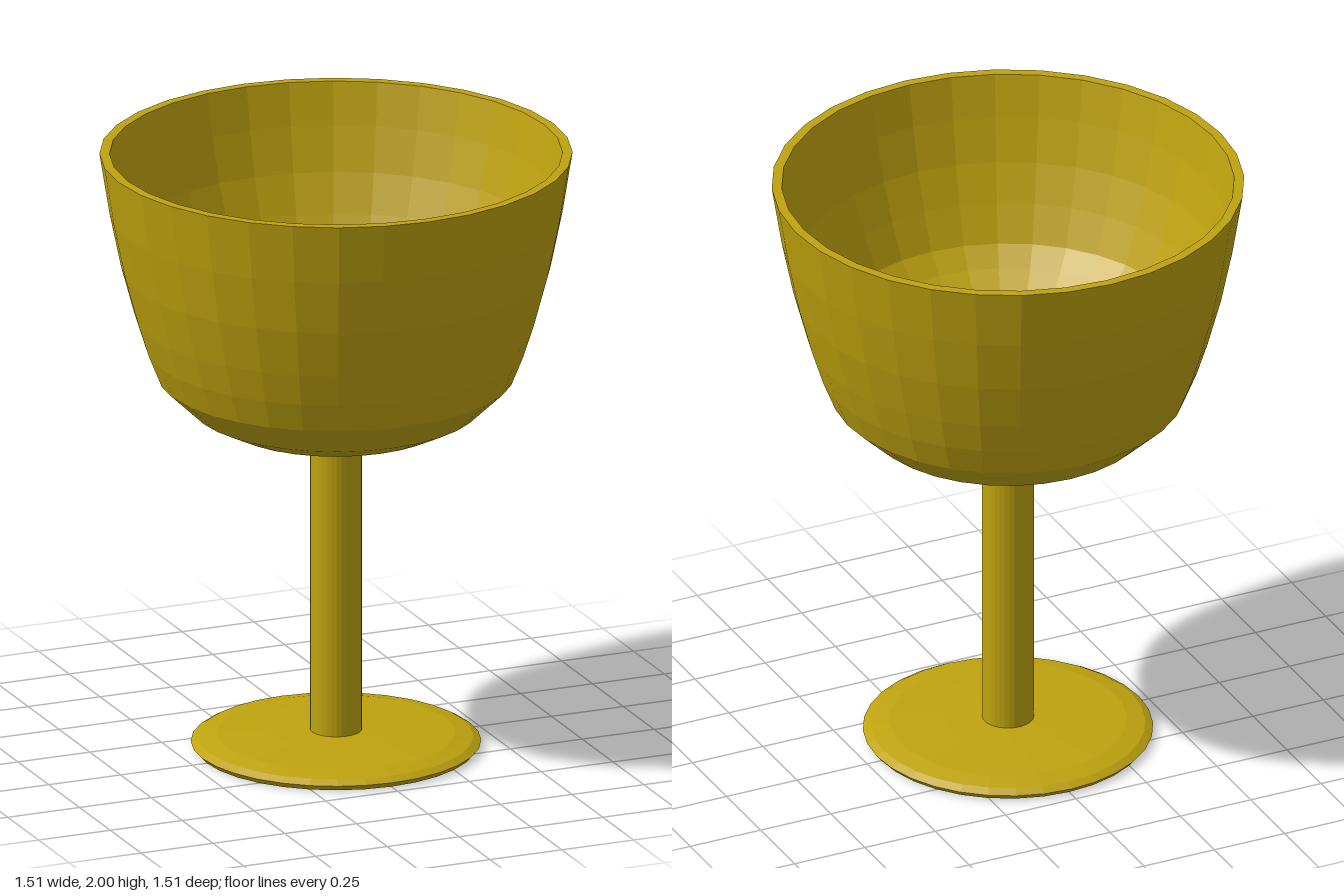
import * as THREE from 'three';

const SIDES = 32;

// Revolve a list of [radius, height] pairs; profiles run outside-up, then inside-down
function turned(name, profile, material) {
  const points = profile.map(([r, y]) => new THREE.Vector2(r, y));
  const mesh = new THREE.Mesh(new THREE.LatheGeometry(points, SIDES), material);
  mesh.name = name;
  return mesh;
}

export function createModel() {
  const gold = new THREE.MeshStandardMaterial({ color: 0xbfa30f, flatShading: true });
  gold.name = 'gold';

  const goblet = new THREE.Group();
  goblet.name = 'goblet';

  // Thin disc foot with a softly rounded edge
  goblet.add(turned('foot', [
    [0, 0], [0.45, 0], [0.465, 0.018], [0.44, 0.033], [0.38, 0.045],
    [0.2, 0.053], [0.083, 0.057], [0, 0.057],
  ], gold));

  // Straight stem
  const stem = new THREE.Mesh(new THREE.CylinderGeometry(0.083, 0.083, 1.01, SIDES, 1, true), gold);
  stem.name = 'stem';
  stem.position.y = 0.55;
  goblet.add(stem);

  // Hollow bowl: outer wall, flat rim, inner wall down to a thick, dished floor
  goblet.add(turned('bowl', [
    [0, 1.03], [0.083, 1.035], [0.23, 1.06], [0.36, 1.095], [0.46, 1.145], [0.57, 1.25],
    [0.61, 1.35], [0.645, 1.46], [0.688, 1.62], [0.725, 1.8], [0.757, 2],
    [0.725, 2], [0.697, 1.86], [0.66, 1.715], [0.615, 1.59], [0.565, 1.47], [0.51, 1.41],
    [0.4, 1.32], [0.275, 1.26], [0, 1.2],
  ], gold));

  return goblet;
}
